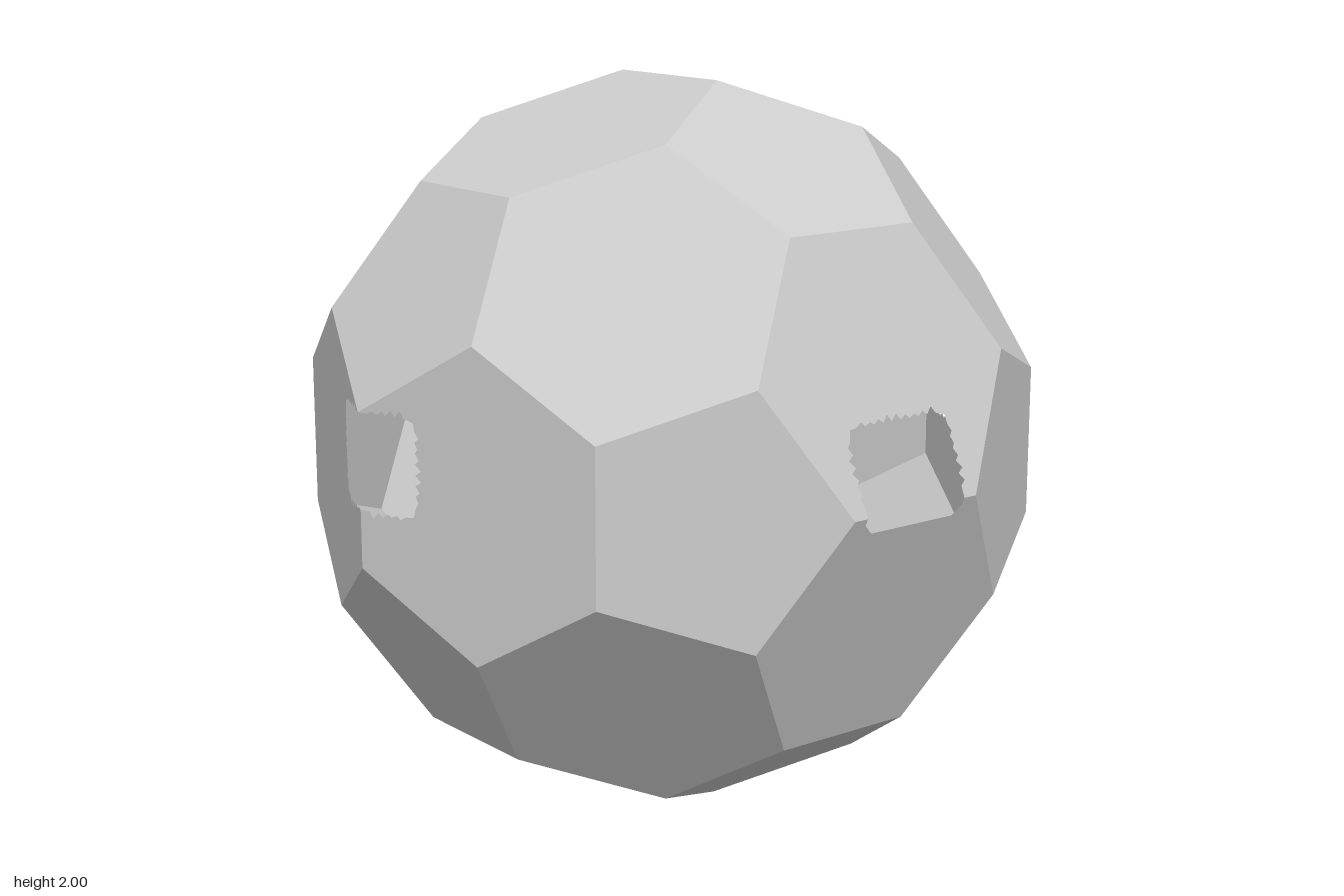
import * as THREE from 'three';

const PHI = (1 + Math.sqrt(5)) / 2;
const V = (x, y, z) => new THREE.Vector3(x, y, z);

// every sign change and cyclic permutation of a triple
function spread(a, b, c) {
  const out = [];
  const signs = (n) => (n === 0 ? [0] : [n, -n]);
  for (const x of signs(a)) for (const y of signs(b)) for (const z of signs(c)) {
    out.push(V(x, y, z), V(z, x, y), V(y, z, x));
  }
  return out;
}

// corners of the ball (truncated icosahedron), scaled to reach 1 along each axis
const corners = [
  ...spread(0, 1, 3 * PHI),
  ...spread(1, 2 + PHI, 2 * PHI),
  ...spread(PHI, 2, 2 * PHI + 1),
].map((v) => v.divideScalar(3 * PHI));

// the corners lying furthest along a direction, counter-clockwise seen from outside
function panelLoop(n, e1, e2) {
  const far = Math.max(...corners.map((c) => c.dot(n)));
  const angle = (c) => Math.atan2(c.dot(e2), c.dot(e1));
  return corners.filter((c) => far - c.dot(n) < 1e-4).sort((a, b) => angle(a) - angle(b));
}

// half of a ragged opening: p runs along the panel edge, q into the panel
function raggedNotch(p0, p1, depth, tooth) {
  const c = Math.min(0.03, depth * 0.6);
  const path = [[p0, 0], [p0, depth - c], [p0 + c, depth], [p1 - c, depth], [p1, depth - c], [p1, 0]];
  const pts = [];
  for (let i = 0; i < path.length - 1; i++) {
    const [ap, aq] = path[i], [bp, bq] = path[i + 1];
    const length = Math.hypot(bp - ap, bq - aq);
    const count = Math.max(1, Math.round(length / 0.03));
    for (let k = 0; k < count; k++) {
      const at = (t) => [ap + (bp - ap) * t, aq + (bq - aq) * t];
      pts.push(at(k / count));
      const isEnd = (i === 0 && k === 0) || (i === path.length - 2 && k === count - 1);
      if (tooth && !isEnd) {
        const [p, q] = at((k + 0.6) / count);
        const size = tooth * (0.7 + 0.3 * Math.sin(5 * k + 3 * i));
        pts.push([p - ((bq - aq) / length) * size, q + ((bp - ap) / length) * size]);
      }
    }
  }
  pts.push(path[path.length - 1]);
  return pts;
}

// insert a ragged notch where an edge crosses the x or z axis
function cutOpenings(loop, n) {
  const out = [];
  loop.forEach((a, i) => {
    const b = loop[(i + 1) % loop.length];
    out.push(a);
    const mid = a.clone().add(b).multiplyScalar(0.5);
    const onZ = Math.abs(mid.z) > 0.99, onX = Math.abs(mid.x) > 0.99;
    if (!onZ && !onX) return;
    const along = b.clone().sub(a).normalize();
    const inward = n.clone().cross(along);
    const foreshorten = Math.sqrt(1 - inward.dot(mid) ** 2);
    let notch;
    if (onZ) {
      notch = along.y > 0 ? raggedNotch(-0.05, 0.206, 0.165, 0.018) : raggedNotch(-0.206, 0.05, 0.165, 0.018);
    } else {
      notch = n.y > 0 ? raggedNotch(-0.165, 0.165, 0.21, 0.018) : raggedNotch(-0.165, 0.165, 0.045, 0);
    }
    for (const [p, q] of notch) {
      out.push(mid.clone().addScaledVector(along, p).addScaledVector(inward, q / foreshorten));
    }
  });
  // drop points that repeat their neighbour
  return out.filter((v, i) => v.distanceTo(out[(i + 1) % out.length]) > 1e-3);
}

// one flat panel of the shell
function panel(direction, name, material) {
  const n = direction.clone().normalize();
  const e1 = V(0, 1, 0).cross(n).normalize();
  const e2 = n.clone().cross(e1);
  const loop = cutOpenings(panelLoop(n, e1, e2), n);
  const flat = loop.map((v) => new THREE.Vector2(v.dot(e1), v.dot(e2)));
  const positions = [], normals = [];
  for (const tri of THREE.ShapeUtils.triangulateShape(flat, [])) {
    for (const i of tri) {
      positions.push(loop[i].x, loop[i].y + 1, loop[i].z);
      normals.push(n.x, n.y, n.z);
    }
  }
  const geometry = new THREE.BufferGeometry();
  geometry.setAttribute('position', new THREE.Float32BufferAttribute(positions, 3));
  geometry.setAttribute('normal', new THREE.Float32BufferAttribute(normals, 3));
  const mesh = new THREE.Mesh(geometry, material);
  mesh.name = name;
  return mesh;
}

export function createModel() {
  const group = new THREE.Group();
  group.name = 'hollowBall';
  const material = new THREE.MeshStandardMaterial({
    color: 0xcccccc, flatShading: true, side: THREE.DoubleSide,
  });

  // 12 pentagons
  for (const d of spread(0, 1, PHI)) group.add(panel(d, 'pentagonPanel', material));

  // 20 hexagons: 12 around the axes and 8 on the diagonals
  const diagonals = spread(1, 1, 1).filter((_, i) => i % 3 === 0);
  for (const d of [...spread(1, 0, PHI * PHI), ...diagonals]) {
    group.add(panel(d, 'hexagonPanel', material));
  }
  return group;
}
